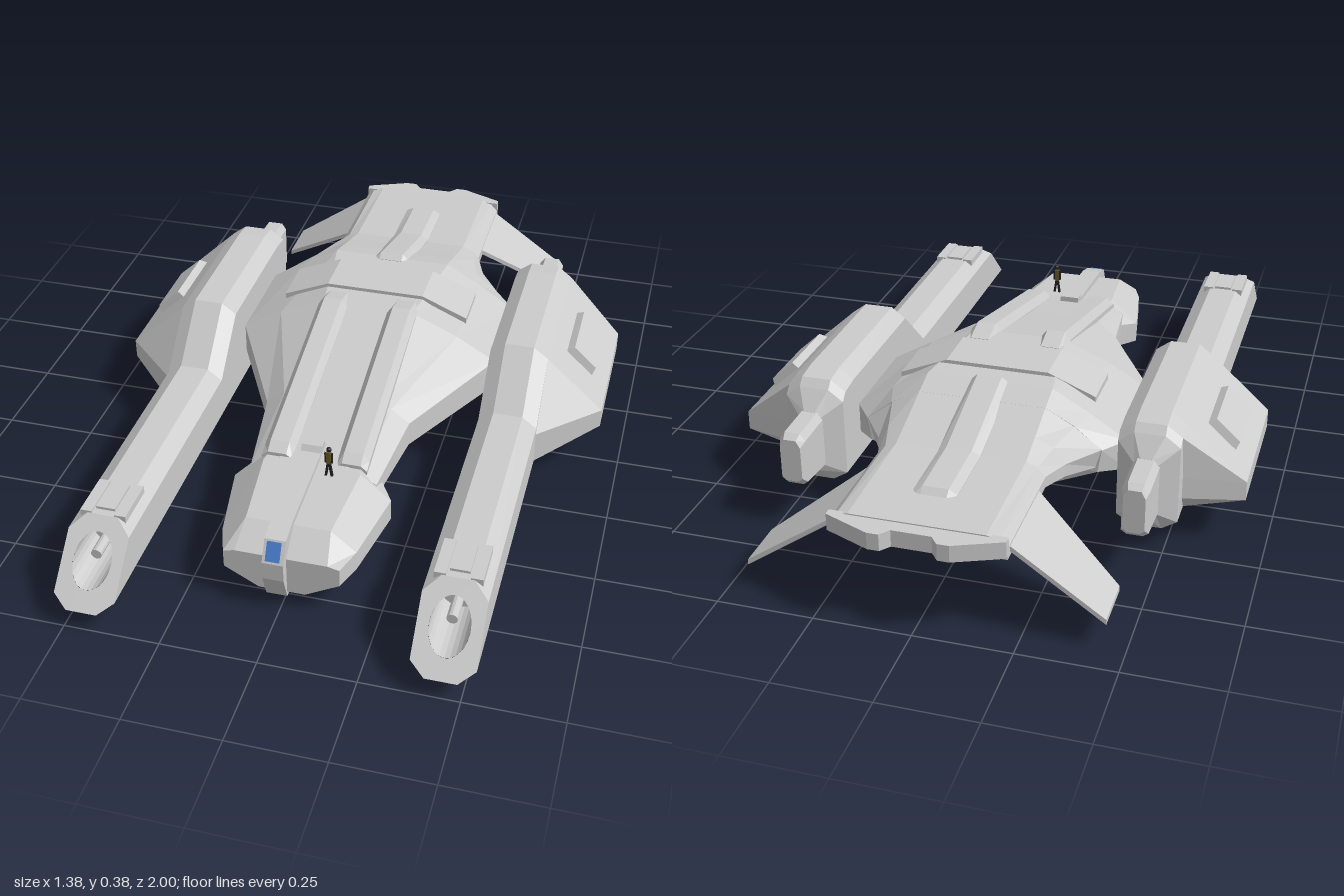
import * as THREE from 'three';

const grey = new THREE.MeshStandardMaterial({ color: 0xcccccc, flatShading: true });
const greyTwoSided = new THREE.MeshStandardMaterial({ color: 0xcccccc, flatShading: true, side: THREE.DoubleSide });
const paint = (color) => new THREE.MeshStandardMaterial({ color, flatShading: true });

// Skin a row of equal-length rings of [x, y, z] points, with optional end caps
function loft(rings, capStart = true, capEnd = true) {
  const n = rings[0].length, tris = [];
  const mean = (pts) => [0, 1, 2].map((k) => pts.reduce((s, p) => s + p[k], 0) / pts.length);
  for (let i = 0; i + 1 < rings.length; i++)
    for (let j = 0; j < n; j++) {
      const k = (j + 1) % n, [a, b] = [rings[i], rings[i + 1]];
      tris.push([a[j], a[k], b[k]], [a[j], b[k], b[j]]);
    }
  const cap = (r, flip) => {
    const c = mean(r);
    r.forEach((p, j) => tris.push(flip ? [c, r[(j + 1) % n], p] : [c, p, r[(j + 1) % n]]));
  };
  if (capStart) cap(rings[0], true);
  if (capEnd) cap(rings[rings.length - 1], false);
  // Turn every face outward by the sign of the enclosed volume
  const o = new THREE.Vector3(...mean(rings.flat()));
  const v = (p) => new THREE.Vector3(...p).sub(o);
  const volume = tris.reduce((s, [a, b, c]) => s + v(a).dot(v(b).cross(v(c))), 0);
  const pos = tris.flatMap(([a, b, c]) => (volume < 0 ? [a, c, b] : [a, b, c])).flat();
  const g = new THREE.BufferGeometry();
  g.setAttribute('position', new THREE.Float32BufferAttribute(pos, 3));
  g.computeVertexNormals();
  return g;
}

// Ring at depth z from a half profile, mirrored about x = cx; a point may carry its own z offset
function sym(z, half, cx = 0) {
  const side = (s) => half.map(([x, y, dz = 0]) => [cx + s * x, y, z + dz]);
  return [...side(1), ...side(-1).reverse()];
}

// Raised strip with chamfered top; stations are [z, base y, top y]
const strip = (cx, w, stations) => loft(stations.map(([z, y0, y1]) =>
  sym(z, [[w * 0.6, y1], [w, y1 - (y1 - y0) * 0.4], [w, y0]], cx)));

function mirrored(geo) {
  const g = geo.index ? geo.toNonIndexed() : geo.clone();
  g.scale(-1, 1, 1);
  const p = g.attributes.position, a = new THREE.Vector3(), b = new THREE.Vector3();
  for (let i = 0; i < p.count; i += 3) {
    a.fromBufferAttribute(p, i + 1);
    b.fromBufferAttribute(p, i + 2);
    p.setXYZ(i + 1, b.x, b.y, b.z);
    p.setXYZ(i + 2, a.x, a.y, a.z);
  }
  g.computeVertexNormals();
  return g;
}

export function createModel() {
  const ship = new THREE.Group();
  ship.name = 'spaceship';
  const add = (name, geo, mat = grey) => {
    const m = new THREE.Mesh(geo, mat);
    m.name = name;
    ship.add(m);
    return m;
  };
  const pair = (name, geo, mat) => {
    add(name + 'Left', geo, mat);
    add(name + 'Right', mirrored(geo), mat);
  };
  const box = (w, h, d, x, y, z) => new THREE.BoxGeometry(w, h, d).translate(x, y, z);

  // Main hull
  add('hull', loft([
    sym(0.5, [[0.09, 0.225], [0.13, 0.215], [0.17, 0.19], [0.17, 0.15], [0.16, 0.09], [0.06, 0.035]]),
    sym(0.26, [[0.11, 0.275], [0.15, 0.26], [0.2, 0.22], [0.2, 0.15], [0.16, 0.09], [0.06, 0.022]]),
    sym(-0.07, [[0.13, 0.357], [0.26, 0.3], [0.372, 0.235], [0.372, 0.15], [0.16, 0.09], [0.05, 0, 0.1]]),
    sym(-0.36, [[0.17, 0.357], [0.27, 0.3], [0.372, 0.235], [0.372, 0.15], [0.16, 0.09], [0.05, 0]]),
    sym(-0.43, [[0.17, 0.336], [0.25, 0.293], [0.32, 0.235], [0.31, 0.17], [0.16, 0.09, 0.03], [0.05, 0.01, 0.055]]),
  ]));

  // Rear deck and notched tail edge
  add('rearDeck', loft([
    sym(-0.42, [[0.17, 0.339], [0.25, 0.295], [0.325, 0.235], [0.31, 0.18], [0.1, 0.19]]),
    sym(-0.53, [[0.17, 0.304], [0.22, 0.283], [0.25, 0.24], [0.25, 0.205], [0.1, 0.205]]),
    sym(-0.61, [[0.17, 0.28], [0.2, 0.268], [0.22, 0.245], [0.22, 0.215], [0.1, 0.21]]),
    sym(-0.94, [[0.17, 0.273], [0.2, 0.265], [0.22, 0.245], [0.22, 0.215], [0.1, 0.215]]),
  ]));
  const tail = new THREE.Shape([[-0.22, 0.93], [0.22, 0.93], [0.22, 0.95], [0.1, 1], [0.07, 1], [0.05, 0.975],
    [-0.05, 0.975], [-0.07, 1], [-0.1, 1], [-0.22, 0.95]].map(([x, y]) => new THREE.Vector2(x, y)));
  add('tailEdge', new THREE.ExtrudeGeometry(tail, { depth: 0.045, bevelEnabled: false })
    .rotateX(-Math.PI / 2).translate(0, 0.225, 0));

  // Cockpit
  add('cockpit', loft([
    sym(0.79, [[0.12, 0.152], [0.15, 0.145], [0.15, 0.095], [0.06, 0.045]]),
    sym(0.72, [[0.11, 0.205], [0.175, 0.15], [0.175, 0.095], [0.06, 0.03]]),
    sym(0.51, [[0.13, 0.225], [0.212, 0.155], [0.212, 0.095], [0.06, 0.033]]),
    sym(0.45, [[0.12, 0.225], [0.17, 0.17], [0.17, 0.1], [0.06, 0.033]]),
  ]));
  const spine = new THREE.Shape([[0.43, 0.2], [0.43, 0.255], [0.46, 0.255], [0.47, 0.24], [0.72, 0.222], [0.785, 0.205],
    [0.815, 0.15], [0.815, 0.1], [0.79, 0.03], [0.7, 0.03]].map(([z, y]) => new THREE.Vector2(z, y)));
  add('cockpitSpine', new THREE.ExtrudeGeometry(spine, { depth: 0.055, bevelEnabled: false })
    .rotateY(-Math.PI / 2).translate(0.014, 0, 0));
  add('cockpitWindow', box(0.036, 0.05, 0.012, 0, 0, 0).rotateX(-0.5).translate(-0.014, 0.179, 0.8), paint(0x4a7fd0));

  // Raised strips on the hull
  pair('topRail', strip(0.1, 0.042, [[0.49, 0.2, 0.235], [0.46, 0.2, 0.253], [-0.06, 0.32, 0.376], [-0.13, 0.32, 0.358]]));
  add('rearSpine', strip(0, 0.055, [[-0.34, 0.33, 0.358], [-0.36, 0.32, 0.371], [-0.62, 0.26, 0.296], [-0.8, 0.26, 0.29], [-0.82, 0.26, 0.273]]));
  add('crossBand', loft([-0.15, -0.295].map((z) => sym(z, [[0.14, 0.367], [0.27, 0.313], [0.27, 0.28], [0.14, 0.33]]))));

  // Drooping tail fins
  const finEdge = (x, y, z0, z1) => [[x, y, z0], [x, y, z1], [x, y - 0.014, z1], [x, y - 0.014, z0]];
  pair('tailFin', loft([finEdge(0.21, 0.247, -0.665, -0.92), finEdge(0.45, 0.079, -0.78, -0.92)]));

  // Engine nozzles under the deck
  const nozzle = (r) => new THREE.LatheGeometry([[r, 0], [r, 0.03], [r * 0.85, 0.036], [r * 0.7, 0.03], [r * 0.6, 0.01], [0, 0.015]]
    .map(([x, y]) => new THREE.Vector2(x, y)), 20).rotateX(-Math.PI / 2);
  pair('engineNozzle', nozzle(0.045).translate(0.075, 0.125, -0.405), greyTwoSided);
  add('smallNozzle', nozzle(0.025).translate(0, 0.06, -0.385), greyTwoSided);

  // Side nacelles: a long barrel swelling into a pod
  const noseZ = (y) => 1 - (y - 0.055) * 1.09;
  const ring = (top, ox, lo, hi) => [[0.41, 0.055], [0.49, 0.055], [0.53, 0.08], [ox, lo], [ox, hi],
    [0.53, top - 0.03], [0.49, top], [0.41, top], [0.37, top - 0.03], [0.37, 0.08]];
  const at = (z, pts) => pts.map(([x, y]) => [x, y, z]);
  const barrel = ring(0.22, 0.53, 0.13, 0.17);
  const pod = ring(0.353, 0.69, 0.125, 0.178);
  pair('nacelle', loft([
    barrel.map(([x, y]) => [x, y, noseZ(y)]), at(0.155, barrel), at(0.01, pod), at(-0.39, pod),
    at(-0.45, ring(0.345, 0.535, 0.14, 0.2)),
    at(-0.47, ring(0.325, 0.53, 0.14, 0.2)),
    at(-0.51, [[0.435, 0.1], [0.465, 0.1], [0.48, 0.12], [0.48, 0.15], [0.48, 0.2], [0.48, 0.26], [0.465, 0.275], [0.435, 0.275], [0.42, 0.26], [0.42, 0.12]]),
  ], false));
  pair('nacelleTail', loft([[-0.5, 0.11, 0.275, 0.035], [-0.62, 0.122, 0.272, 0.035], [-0.64, 0.14, 0.26, 0.028]]
    .map(([z, y0, y1, w]) => sym(z, [[w * 0.6, y1], [w, y1 - 0.02], [w, y0 + 0.01], [w * 0.6, y0]], 0.45))));

  // Sloped nose face with a bore and a gun inside
  const face = new THREE.Shape(barrel.map(([x, y]) => new THREE.Vector2(x, y)));
  face.holes.push(new THREE.Path().absarc(0.45, 0.142, 0.05, 0, Math.PI * 2, true));
  const slope = (g) => {
    const p = g.attributes.position;
    for (let i = 0; i < p.count; i++) if (p.getZ(i) > -0.5) p.setZ(i, noseZ(p.getY(i)));
    return g;
  };
  pair('nacelleNose', slope(new THREE.ShapeGeometry(face, 24)));
  const bore = new THREE.CylinderGeometry(0.05, 0.05, 2, 24, 1, true).rotateX(Math.PI / 2).translate(0.45, 0.142, 0);
  slope(bore);
  for (let i = 0, p = bore.attributes.position; i < p.count; i++) if (p.getZ(i) < 0) p.setZ(i, 0.78);
  pair('noseBore', bore, greyTwoSided);
  pair('boreEnd', new THREE.CircleGeometry(0.05, 24).translate(0.45, 0.142, 0.781));
  pair('gun', new THREE.CylinderGeometry(0.014, 0.014, 0.1, 12).rotateX(Math.PI / 2).translate(0.45, 0.142, 0.83));

  // Barrel top fittings
  for (const x of [0.405, 0.495]) pair('barrelRail', box(0.03, 0.02, 0.125, x, 0.215, 0.757));
  pair('barrelSlide', box(0.05, 0.02, 0.1, 0.45, 0.217, 0.75));

  // Bevelled panel on the pod slope
  const panel = new THREE.BoxGeometry(0.115, 0.04, 0.22);
  for (let i = 0, p = panel.attributes.position; i < p.count; i++)
    if (p.getY(i) > 0) p.setXYZ(i, p.getX(i) * 0.75, p.getY(i), p.getZ(i) * 0.87);
  pair('podPanel', panel.rotateZ(-0.74).translate(0.609, 0.253, -0.2));

  // Small crew figure standing on the hull
  const dark = paint(0x222222), olive = paint(0x6b5a2a);
  for (const s of [-1, 1]) {
    add('crewLeg', box(0.006, 0.045, 0.007, 0, 0, 0).rotateZ(s * 0.15).translate(0.052 + s * 0.005, 0.243, 0.53), dark);
    add('crewArm', box(0.004, 0.03, 0.005, 0.052 + s * 0.009, 0.28, 0.53), dark);
  }
  add('crewTorso', box(0.013, 0.035, 0.009, 0.052, 0.28, 0.53), olive);
  add('crewHead', new THREE.SphereGeometry(0.007, 8, 6).translate(0.053, 0.306, 0.53), dark);
  return ship;
}
